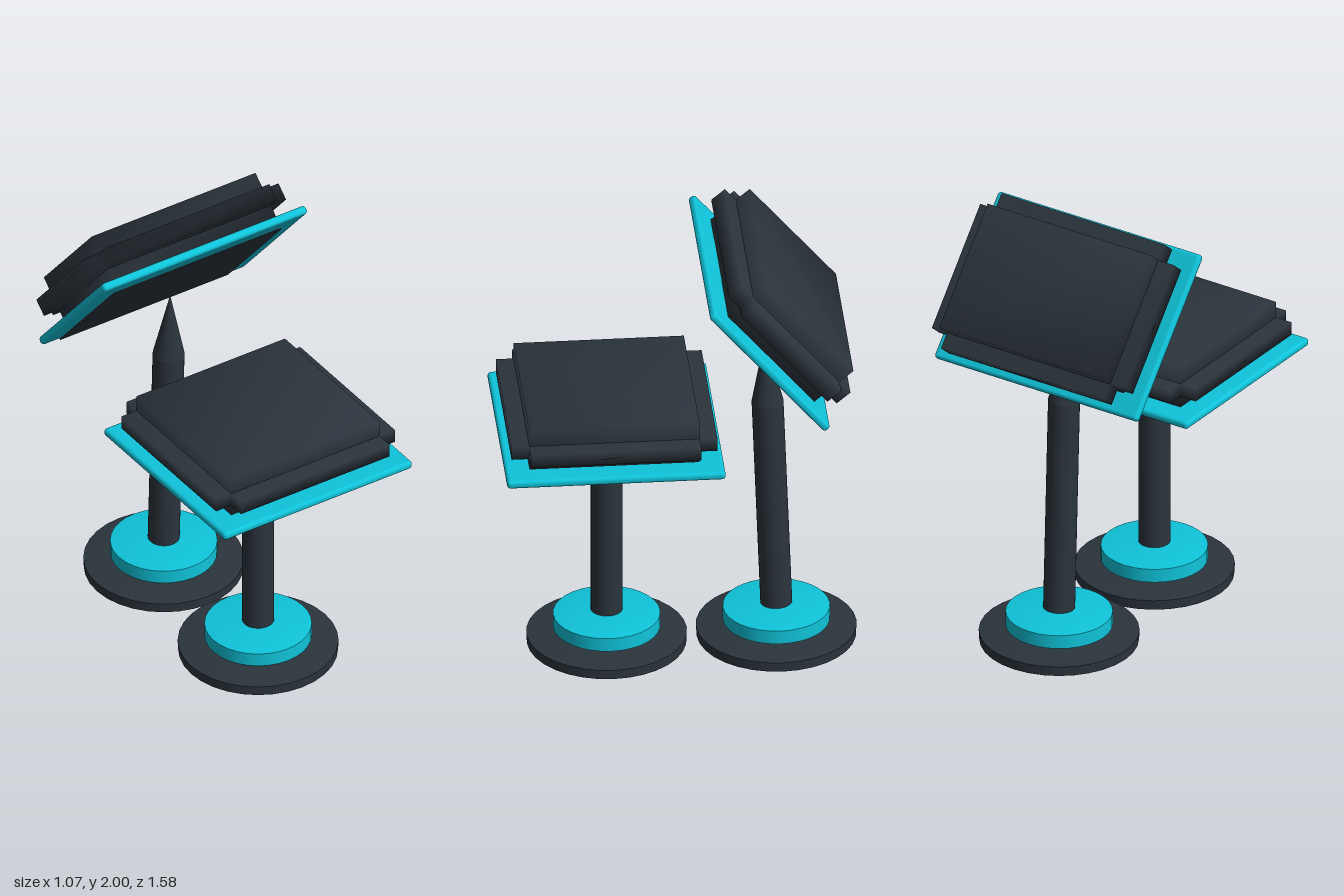
import * as THREE from 'three';
import { mergeVertices } from 'three/addons/utils/BufferGeometryUtils.js';
import { RoundedBoxGeometry } from 'three/addons/geometries/RoundedBoxGeometry.js';

const charcoal = new THREE.MeshStandardMaterial({ color: 0x2b343c });
charcoal.name = 'charcoal';
const cyan = new THREE.MeshStandardMaterial({ color: 0x0fc3d9 });
cyan.name = 'cyan';

function add(parent, name, geometry, material, x = 0, y = 0, z = 0) {
  const mesh = new THREE.Mesh(geometry, material);
  mesh.name = name;
  mesh.position.set(x, y, z);
  parent.add(mesh);
  return mesh;
}

// Box with shared corners, so its shading runs smoothly over the edges
function softBox(w, h, d) {
  const box = new THREE.BoxGeometry(w, h, d);
  box.deleteAttribute('normal');
  box.deleteAttribute('uv');
  const soft = mergeVertices(box);
  soft.computeVertexNormals();
  return soft;
}

// Box given by half sizes in x and z and by its bottom and top heights
function slab(parent, name, hx, hz, y0, y1, z = 0) {
  return add(parent, name, softBox(2 * hx, y1 - y0, 2 * hz), charcoal, 0, (y0 + y1) / 2, z);
}

// Turned solid; repeated points keep an edge sharp
function turned(points) {
  const profile = [];
  for (const [r, y] of points) profile.push(new THREE.Vector2(r, y));
  return new THREE.LatheGeometry(profile, 32);
}

function pedestal(name, z, poleLength, tipLength, lean) {
  const group = new THREE.Group();
  group.name = name;
  group.position.z = z;

  // Foot disc and raised collar, both slightly domed
  add(group, 'footDisc', turned([[0, 0], [0.35, 0], [0.35, 0], [0.352, 0.045], [0.352, 0.045],
    [0.22, 0.058], [0, 0.063]]), charcoal);
  add(group, 'collar', turned([[0, 0.074], [0.235, 0.074], [0.235, 0.074], [0.235, 0.138], [0.235, 0.138],
    [0.15, 0.151], [0, 0.158]]), cyan);

  // Pole ending in a long point
  const pole = add(group, 'pole', turned([[0, 0], [0.07, 0], [0.07, 0], [0.07, poleLength],
    [0.07, poleLength], [0, poleLength + tipLength]]), charcoal, 0, 0.158, 0);
  pole.rotation.x = lean;
  return group;
}

// Cushioned panel, with the rim plate centred on the group's origin
function panel(name, s) {
  const group = new THREE.Group();
  group.name = name;
  add(group, 'rimPlate', new RoundedBoxGeometry(2 * s.rimX, 0.038, 2 * s.rimZ, 3, 0.016), cyan);
  slab(group, 'cushionCore', s.coreX, s.coreZ, 0.015, s.top);
  slab(group, 'cushionSideWings', s.wingX, s.coreZ, s.wing0, s.wing1);
  slab(group, 'cushionEndWings', s.coreX, s.wingZ, s.wing0, s.wing1);
  return group;
}

export function createModel() {
  const model = new THREE.Group();
  model.name = 'pairOfPedestalPanels';

  // Front stand with a level panel
  model.add(pedestal('frontStand', 0.31, 0.70, 0.22, 0));
  const front = panel('levelPanel', {
    rimX: 0.495, rimZ: 0.48, coreX: 0.39, coreZ: 0.374,
    wingX: 0.47, wingZ: 0.452, wing0: 0.072, wing1: 0.135, top: 0.212,
  });
  front.position.set(0, 1.078, 0.31);
  slab(front, 'undersidePlate', 0.412, 0.39, -0.04, -0.01);
  slab(front, 'undersideStep', 0.397, 0.375, -0.058, -0.035);
  model.add(front);

  // Rear stand with a tilted panel
  model.add(pedestal('rearStand', -0.435, 1.01, 0.32, 0.038));
  const rear = panel('tiltedPanel', {
    rimX: 0.535, rimZ: 0.393, coreX: 0.43, coreZ: 0.293,
    wingX: 0.51, wingZ: 0.367, wing0: 0.085, wing1: 0.164, top: 0.244,
  });
  rear.position.set(0, 1.61, -0.36);
  rear.rotation.x = -0.868;
  slab(rear, 'undersidePlate', 0.44, 0.327, -0.026, -0.01, -0.06);
  model.add(rear);

  return model;
}
